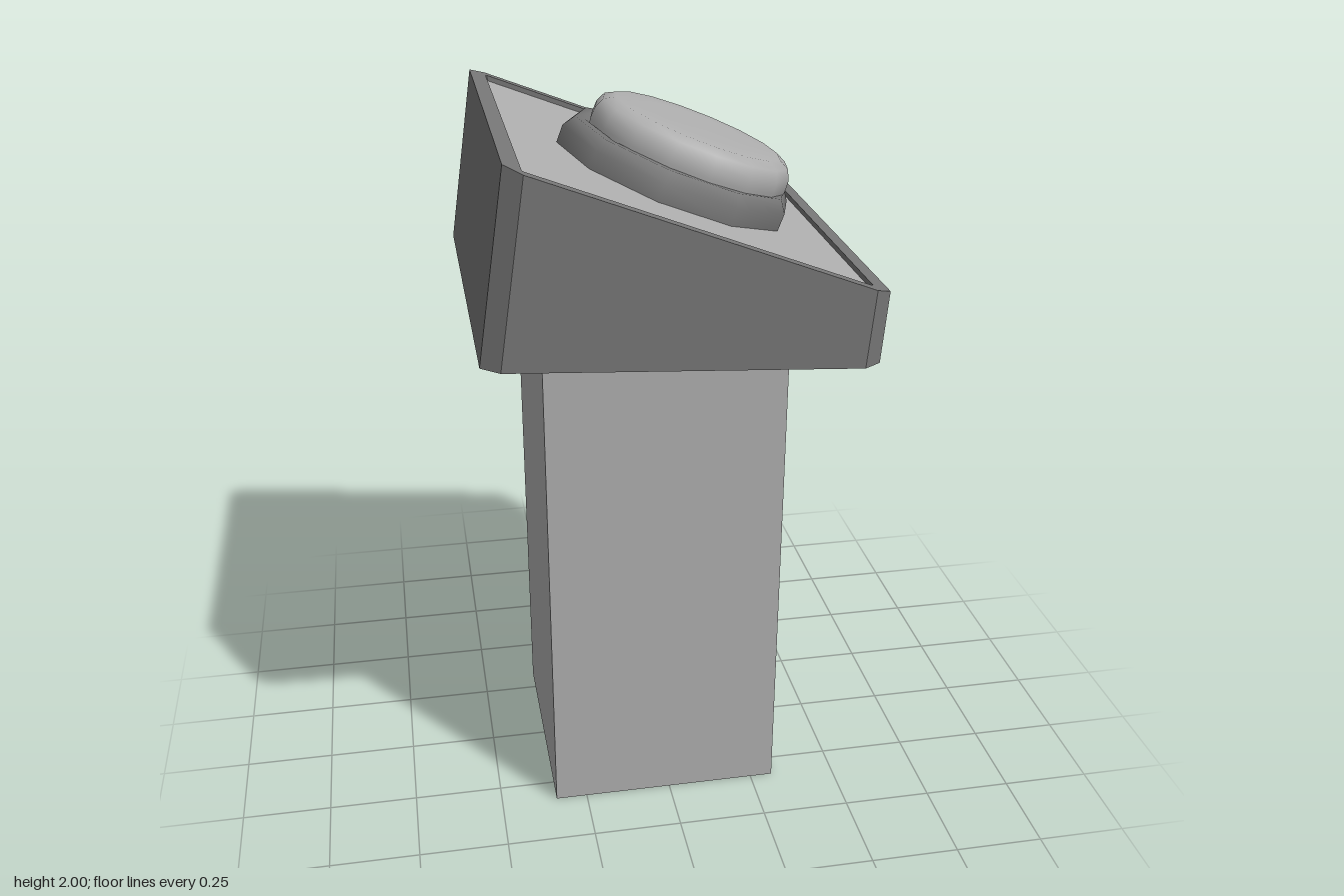
import * as THREE from 'three';

const bodyGrey = new THREE.MeshStandardMaterial({ color: 0x767676, side: THREE.DoubleSide });
bodyGrey.name = 'dark grey';
const lightGrey = new THREE.MeshStandardMaterial({ color: 0xaeaeae, side: THREE.DoubleSide });
lightGrey.name = 'light grey';

// Slopes of the housing's top and underside
const TILT = Math.atan2(0.365, 0.945);
const topY = (x) => 1.975 - Math.tan(TILT) * (x + 0.435);
const bottomY = (x) => 1.48 - 0.06 * (x + 0.51);

function addMesh(parent, name, geometry, material) {
  const mesh = new THREE.Mesh(geometry, material);
  mesh.name = name;
  parent.add(mesh);
  return mesh;
}

// Chamfered rectangle, anticlockwise from above, lying on a sloped plane
function ring(x0, x1, z, cutX, cutZ, heightAt) {
  const a = x0 + cutX, b = x1 - cutX, c = z - cutZ;
  return [[x1, c], [x1, -c], [b, -z], [a, -z], [x0, -c], [x0, c], [a, z], [b, z]]
    .map(([x, pz]) => [x, heightAt(x), pz]);
}

// Flat-faced skin through successive rings, with an optional cap on the first or last
function skin(rings, { capFirst = false, capLast = false } = {}) {
  const positions = [];
  const tri = (...points) => points.forEach((p) => positions.push(...p));
  for (let r = 0; r + 1 < rings.length; r++) {
    const lo = rings[r], hi = rings[r + 1];
    lo.forEach((p, i) => {
      const j = (i + 1) % lo.length;
      tri(p, lo[j], hi[j]);
      tri(p, hi[j], hi[i]);
    });
  }
  const first = rings[0], last = rings[rings.length - 1];
  for (let i = 1; i + 1 < first.length; i++) {
    if (capFirst) tri(first[0], first[i + 1], first[i]);
    if (capLast) tri(last[0], last[i], last[i + 1]);
  }
  const geometry = new THREE.BufferGeometry();
  geometry.setAttribute('position', new THREE.Float32BufferAttribute(positions, 3));
  geometry.computeVertexNormals();
  return geometry;
}

// Turned part with a corner pointing along x
function turned(profile, sides) {
  const points = profile.map(([r, y]) => new THREE.Vector2(r, y));
  return new THREE.LatheGeometry(points, sides, Math.PI / 2);
}

export function createModel() {
  const model = new THREE.Group();
  model.name = 'pedestalButton';

  // Square pillar, open at the foot
  const pillarGeometry = new THREE.CylinderGeometry(
    0.3275 * Math.SQRT2, 0.3275 * Math.SQRT2, 1.45, 4, 1, true, Math.PI / 4
  ).toNonIndexed();
  pillarGeometry.computeVertexNormals();
  addMesh(model, 'pillar', pillarGeometry, lightGrey).position.set(-0.0125, 0.725, 0);

  // Wedge housing with chamfered corners and a raised rim
  const recessY = (x) => topY(x) - 0.015;
  const panelEdge = [-0.39, 0.465, 0.523, 0.005, 0.005];
  addMesh(model, 'housing', skin([
    ring(-0.51, 0.495, 0.5575, 0.048, 0.035, bottomY),
    ring(-0.435, 0.51, 0.5575, 0.045, 0.035, topY),
    ring(...panelEdge, topY),
    ring(...panelEdge, recessY),
  ], { capFirst: true }), bodyGrey);

  // Recessed sloping panel
  addMesh(model, 'panel', skin([ring(...panelEdge, recessY)], { capLast: true }), lightGrey);

  // Button assembly, tilted with the panel
  const button = new THREE.Group();
  button.name = 'button';
  button.position.set(0.061, topY(0.061), 0.008);
  button.rotation.z = -TILT;
  model.add(button);

  addMesh(button, 'buttonCollar', turned(
    [[0.328, -0.02], [0.328, 0.034], [0.305, 0.066], [0.275, 0.066], [0.25, 0.05]], 10
  ), bodyGrey);

  addMesh(button, 'buttonCap', turned(
    [[0.275, 0.04], [0.28, 0.075], [0.278, 0.105], [0.265, 0.132], [0.235, 0.147], [0.15, 0.151], [0, 0.152]], 16
  ), lightGrey).position.x = 0.015;

  return model;
}
